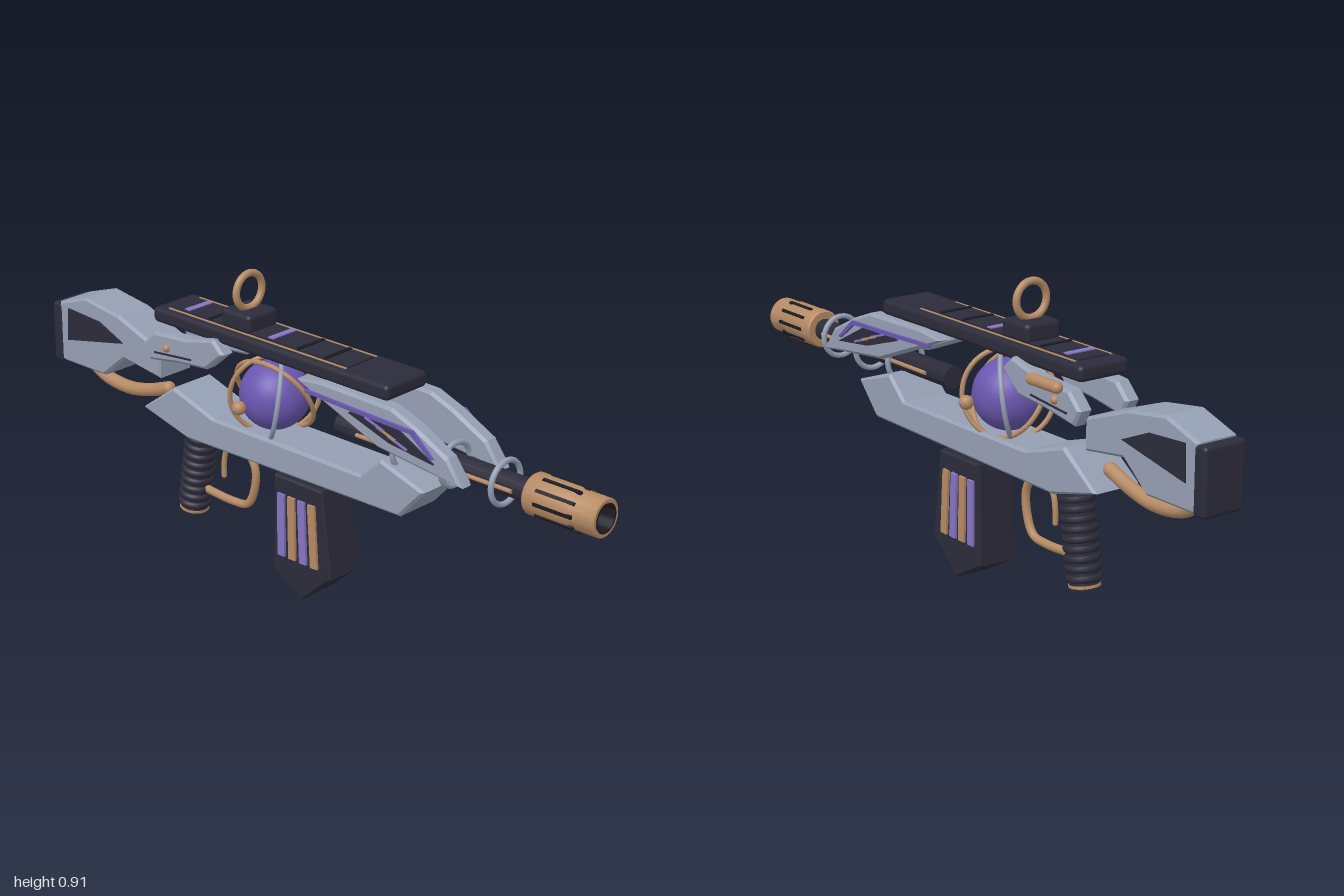
import * as THREE from 'three';
import { RoundedBoxGeometry } from 'three/addons/geometries/RoundedBoxGeometry.js';
import { toCreasedNormals } from 'three/addons/utils/BufferGeometryUtils.js';

const mat = (name, color) => {
  const m = new THREE.MeshStandardMaterial({ color });
  m.name = name;
  return m;
};

export function createModel() {
  const silver = mat('silver', 0x959fb3);
  const dark = mat('dark', 0x2c2b3a);
  const black = mat('black', 0x1a1a22);
  const copper = mat('copper', 0xb58a64);
  const purple = mat('purple', 0x6a57b0);
  const lilac = mat('lilac', 0x8674c4);

  const model = new THREE.Group();
  const add = (name, geo, material, x = 0, y = 0, z = 0, parent = model) => {
    const mesh = new THREE.Mesh(geo, material);
    mesh.name = name;
    mesh.position.set(x, y, z);
    parent.add(mesh);
    return mesh;
  };
  // Side outline extruded from z0 to z1 with a small chamfer
  const slab = (name, pts, z0, z1, material, b = 0.006, parent = model) => {
    const shape = new THREE.Shape(pts.map(([x, y]) => new THREE.Vector2(x, y)));
    const geo = new THREE.ExtrudeGeometry(shape, {
      depth: z1 - z0 - 2 * b, bevelEnabled: b > 0, bevelThickness: b,
      bevelSize: b, bevelOffset: -b, bevelSegments: 1,
    });
    return add(name, geo, material, 0, 0, z0 + b, parent);
  };
  // The same slab on both sides, given as distances from the middle
  const pair = (name, pts, near, far, material, b = 0) => {
    slab(name + 'Left', pts, near, far, material, b);
    slab(name + 'Right', pts, -far, -near, material, b);
  };
  const tube = (name, pts, r, material) => {
    const curve = new THREE.CatmullRomCurve3(pts.map(([x, y, z = 0]) => new THREE.Vector3(x, y, z)));
    add(name, new THREE.TubeGeometry(curve, 32, r, 12), material);
    for (const p of [pts[0], pts[pts.length - 1]])
      add(name + 'End', new THREE.SphereGeometry(r, 12, 8), material, p[0], p[1], p[2] || 0);
  };
  // Surface of revolution about the x axis
  const latheX = (name, profile, material, x, y, z = 0) => {
    const geo = new THREE.LatheGeometry(profile.map(([r, h]) => new THREE.Vector2(r, h)), 32);
    geo.rotateZ(-Math.PI / 2);
    return add(name, toCreasedNormals(geo, 0.6), material, x, y, z);
  };

  // Stock
  slab('stock', [[-0.975, 0.465], [-0.78, 0.465], [-0.69, 0.54], [-0.54, 0.52], [-0.54, 0.61],
    [-0.71, 0.67], [-0.85, 0.69], [-0.97, 0.65]], -0.065, 0.065, silver, 0.008);
  add('buttPad', new RoundedBoxGeometry(0.045, 0.185, 0.135, 3, 0.012), dark, -0.9775, 0.553, 0);
  pair('stockPanel', [[-0.93, 0.54], [-0.69, 0.59], [-0.79, 0.632], [-0.925, 0.64]], 0.064, 0.07, dark);
  tube('stockTube', [[-0.91, 0.465], [-0.84, 0.43], [-0.74, 0.42], [-0.65, 0.437], [-0.57, 0.465]], 0.02, copper);

  // Lower body
  slab('lowerBody', [[-0.6, 0.42], [-0.42, 0.372], [0.39, 0.385], [0.475, 0.48], [0.32, 0.53],
    [0.25, 0.465], [-0.31, 0.465], [-0.47, 0.515]], -0.077, 0.077, silver, 0.008);

  // Rear and front upper covers
  pair('rearCover', [[-0.54, 0.59], [-0.42, 0.61], [-0.31, 0.62], [-0.24, 0.68], [-0.28, 0.717],
    [-0.39, 0.69], [-0.52, 0.68], [-0.565, 0.635]], 0.055, 0.102, silver, 0.008);
  pair('frontCover', [[0.04, 0.69], [0.16, 0.64], [0.33, 0.575], [0.52, 0.555], [0.62, 0.545],
    [0.57, 0.615], [0.46, 0.67], [0.38, 0.7], [0.13, 0.705]], 0.055, 0.102, silver, 0.008);
  pair('frontCoverPanel', [[0.235, 0.65], [0.38, 0.605], [0.53, 0.588], [0.39, 0.66], [0.26, 0.662]],
    0.1, 0.109, dark);
  pair('frontCoverStripe', [[0.08, 0.664], [0.26, 0.656], [0.45, 0.652], [0.52, 0.6], [0.53, 0.602],
    [0.46, 0.662], [0.26, 0.667], [0.08, 0.673]], 0.101, 0.11, purple);
  for (const side of [-1, 1]) {
    for (let i = 0; i < 3; i++) {
      const bar = add('panelBar', new THREE.BoxGeometry(0.07, 0.006, 0.005), i === 1 ? copper : lilac,
        0.33 + i * 0.04, 0.645 - i * 0.015, side * 0.11);
      bar.rotation.z = -0.3;
    }
    add('coverBolt', new THREE.SphereGeometry(0.012, 16, 12), copper, -0.465, 0.645, side * 0.102);
    const seam = add('coverSeam', new THREE.BoxGeometry(0.15, 0.005, 0.006), dark, -0.44, 0.628, side * 0.102);
    seam.rotation.z = 0.1;
  }
  const handle = add('sideHandle', new THREE.CapsuleGeometry(0.016, 0.105, 6, 14), copper, -0.437, 0.685, -0.115);
  handle.rotation.z = Math.PI / 2;

  // Top rail with inlays, mount and ring
  add('topRail', new RoundedBoxGeometry(0.89, 0.045, 0.163, 3, 0.014), dark, -0.097, 0.723, 0);
  add('railTop', new THREE.BoxGeometry(0.68, 0.008, 0.1), dark, -0.155, 0.746, 0);
  for (const z of [-0.06, 0.06])
    add('railInlay', new THREE.BoxGeometry(0.68, 0.006, 0.006), copper, -0.155, 0.745, z);
  for (const x of [-0.437, -0.11])
    add('railMark', new THREE.BoxGeometry(0.02, 0.006, 0.09), lilac, x, 0.75, 0);
  for (const x of [-0.34, 0, 0.1])
    add('railRib', new THREE.BoxGeometry(0.012, 0.006, 0.1), black, x, 0.75, 0);
  add('ringMount', new RoundedBoxGeometry(0.112, 0.056, 0.115, 3, 0.014), dark, -0.235, 0.77, 0);
  add('topRing', new THREE.TorusGeometry(0.05, 0.0105, 14, 40), copper, -0.235, 0.848, 0).rotation.y = Math.PI / 2;

  // Energy core with its orbit rings and side knobs
  const core = new THREE.Group();
  core.name = 'core';
  core.position.set(-0.138, 0.567, 0);
  model.add(core);
  add('coreSphere', new THREE.SphereGeometry(0.1, 40, 28), purple, 0, 0, 0, core);
  const orbits = [[0.5, 0.1, copper], [0.25, 0.85, copper], [-0.2, -0.75, silver]];
  for (const [rx, ry, m] of orbits)
    add('orbitRing', new THREE.TorusGeometry(0.126, 0.007, 10, 56), m, 0, 0, 0, core).rotation.set(rx, ry, 0);
  for (const side of [-1, 1]) {
    add('knob', new THREE.SphereGeometry(0.02, 20, 14), copper, 0, 0, side * 0.142, core);
    const tip = add('knobTip', new THREE.ConeGeometry(0.008, 0.014, 14), lilac, 0, 0, side * 0.163, core);
    tip.rotation.x = side * Math.PI / 2;
  }

  // Barrel, side rods and collars
  const by = 0.553;
  latheX('barrel', [[0, 0], [0.032, 0], [0.032, 0.68], [0, 0.68]], dark, 0.115, by);
  for (const side of [-1, 1]) {
    const rod = add('barrelRod', new THREE.CylinderGeometry(0.006, 0.006, 0.53, 10), copper, 0.465, by, side * 0.036);
    rod.rotation.z = Math.PI / 2;
  }
  for (const x of [0.35, 0.515, 0.683])
    add('barrelCollar', new THREE.TorusGeometry(0.06, 0.008, 12, 40), silver, x, by, 0).rotation.y = Math.PI / 2;

  // Muzzle with bore and slots
  latheX('muzzle', [[0.025, 0], [0.053, 0], [0.057, 0.006], [0.057, 0.14], [0.053, 0.15], [0.053, 0.222],
    [0.05, 0.225], [0.042, 0.225], [0.042, 0.16]], copper, 0.775, by);
  latheX('bore', [[0.041, 0.226], [0.036, 0.226], [0.034, 0.17], [0, 0.17]], black, 0.775, by);
  const slots = new THREE.Group();
  slots.name = 'muzzleSlots';
  slots.position.y = by;
  model.add(slots);
  for (let i = 0; i < 10; i++) {
    const a = (i / 10) * Math.PI * 2;
    const slot = add('muzzleSlot', new THREE.BoxGeometry(0.12, 0.009, 0.01), black,
      0.875, Math.sin(a) * 0.055, Math.cos(a) * 0.055, slots);
    slot.rotation.x = -a;
  }

  // Ribbed grip
  const grip = new THREE.Group();
  grip.name = 'grip';
  grip.position.set(-0.452, 0.245, 0);
  grip.rotation.z = -0.16;
  model.add(grip);
  add('gripCore', new THREE.CylinderGeometry(0.045, 0.042, 0.27, 24), dark, 0, 0, 0, grip);
  for (let i = 0; i < 9; i++)
    add('gripRib', new THREE.TorusGeometry(0.04, 0.011, 8, 28), dark, 0, -0.105 + i * 0.027, 0, grip)
      .rotation.x = Math.PI / 2;
  add('gripBand', new THREE.CylinderGeometry(0.044, 0.044, 0.008, 24), copper, 0, -0.126, 0, grip);

  // Trigger and guard
  tube('triggerGuard', [[-0.33, 0.38], [-0.26, 0.365], [-0.22, 0.32], [-0.222, 0.25], [-0.25, 0.195],
    [-0.31, 0.185], [-0.42, 0.19]], 0.012, copper);
  tube('trigger', [[-0.3, 0.37], [-0.335, 0.335], [-0.345, 0.29], [-0.345, 0.255]], 0.008, copper);

  // Magazine with side stripes
  slab('magazine', [[-0.09, 0.065], [0.02, 0.003], [0.13, 0.1], [0.097, 0.36], [-0.085, 0.36]],
    -0.061, 0.061, dark, 0.005);
  add('magazineNeck', new THREE.BoxGeometry(0.15, 0.03, 0.09), dark, 0.005, 0.37, 0);
  for (const side of [-1, 1])
    for (let i = 0; i < 4; i++) {
      const stripe = add('magazineStripe', new THREE.BoxGeometry(0.026, 0.19, 0.009),
        i % 2 ? copper : lilac, -0.053 + i * 0.04, 0.215, side * 0.064);
      stripe.rotation.z = 0.02 * i;
    }
  return model;
}
